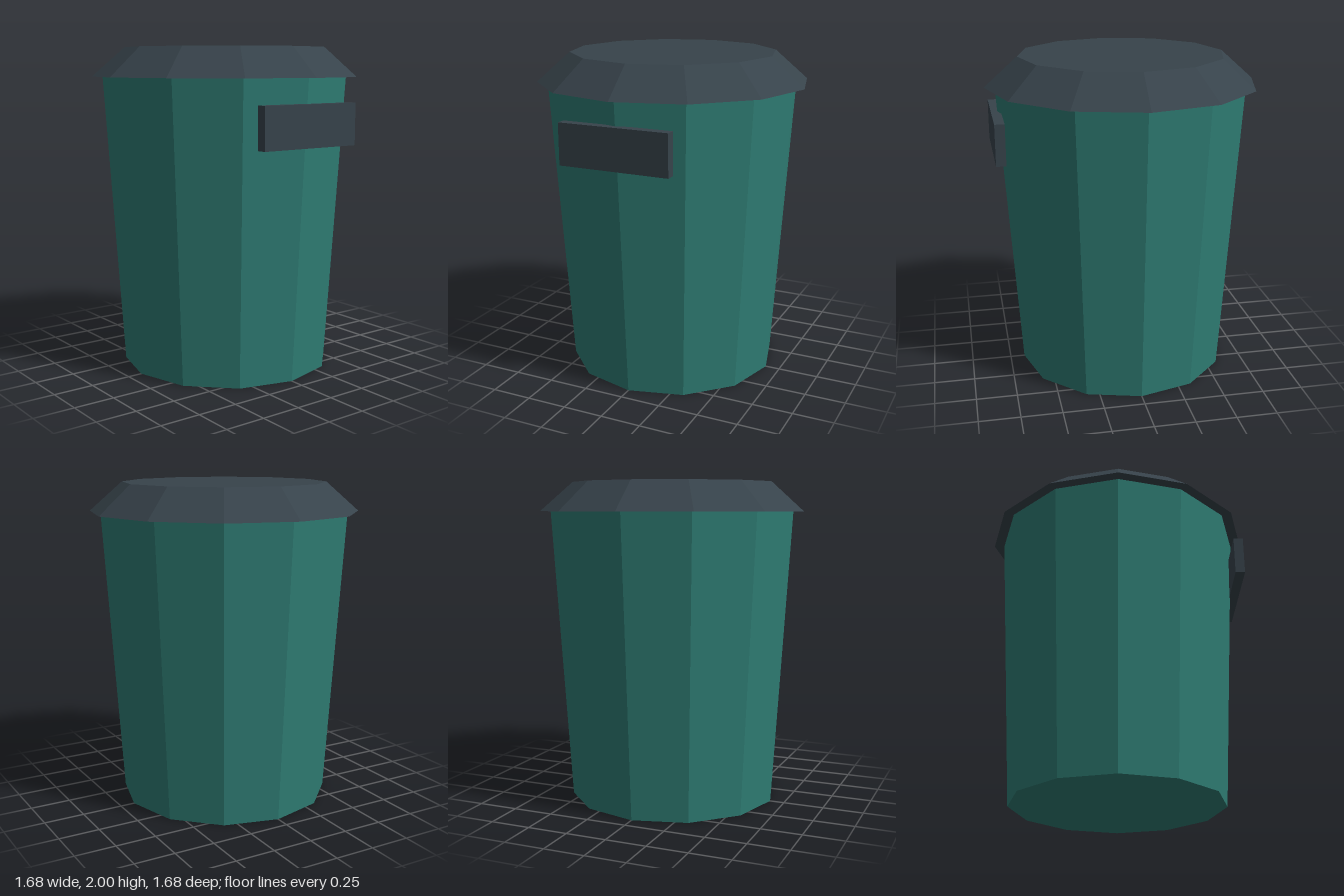
import * as THREE from 'three';

const SIDES = 12;
const RIM_Y = 1.82;

function addPart(group, name, geometry, color, y, z = 0) {
  const material = new THREE.MeshStandardMaterial({ color, flatShading: true });
  const mesh = new THREE.Mesh(geometry, material);
  mesh.name = name;
  mesh.position.set(0, y, z);
  group.add(mesh);
}

export function createModel() {
  const group = new THREE.Group();
  group.name = 'trashBin';
  const green = 0x2f7d74;
  const slate = 0x37434b;

  // Tapered bin body, wider at the rim
  addPart(group, 'body', new THREE.CylinderGeometry(0.775, 0.66, RIM_Y, SIDES), green, RIM_Y / 2);

  // Bevelled lid overhanging the rim
  addPart(group, 'lid', new THREE.CylinderGeometry(0.636, 0.84, 2 - RIM_Y, SIDES), slate, (2 + RIM_Y) / 2);

  // Flat plate across the front
  addPart(group, 'frontPlate', new THREE.BoxGeometry(0.686, 0.25, 0.06), slate, 1.548, 0.775);

  return group;
}
